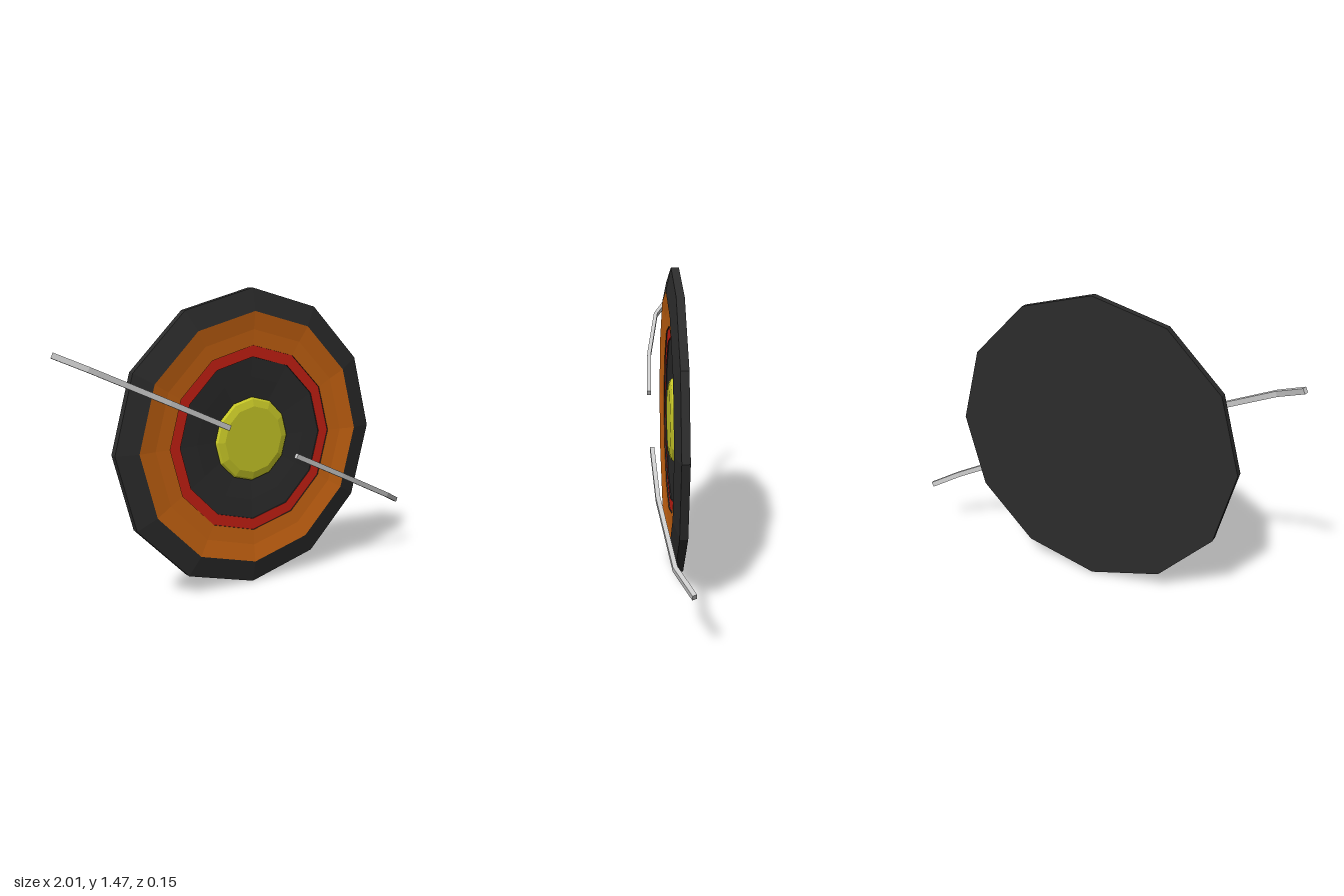
import * as THREE from 'three';

const RADIUS = 0.737;
const SIDES = 12;

function paint(color) {
  return new THREE.MeshStandardMaterial({ color, flatShading: true });
}

// Turned part facing +z; the profile lists [radius, z] from back to front
function turned(name, profile, material) {
  const points = profile.map(([r, z]) => new THREE.Vector2(r, z));
  const geometry = new THREE.LatheGeometry(points, SIDES);
  geometry.rotateX(Math.PI / 2);
  const mesh = new THREE.Mesh(geometry, material);
  mesh.name = name;
  return mesh;
}

// Bent square bar: a thickened polyline of [distance, z], extruded to its width
function bentBar(path, thickness, width, material) {
  const upper = [], lower = [];
  path.forEach(([s, z], i) => {
    const a = path[Math.max(i - 1, 0)];
    const b = path[Math.min(i + 1, path.length - 1)];
    const normal = new THREE.Vector2(a[1] - b[1], b[0] - a[0]).setLength(thickness / 2);
    upper.push(new THREE.Vector2(s, z).add(normal));
    lower.unshift(new THREE.Vector2(s, z).sub(normal));
  });
  const shape = new THREE.Shape([...lower, ...upper]);
  const geometry = new THREE.ExtrudeGeometry(shape, { depth: width, bevelEnabled: false });
  geometry.translate(0, 0, -width / 2);
  geometry.rotateX(Math.PI / 2);
  return new THREE.Mesh(geometry, material);
}

export function createModel() {
  const model = new THREE.Group();
  const target = new THREE.Group();
  target.name = 'disc';
  target.position.y = RADIUS;
  model.add(target);

  const dark = paint(0x2c2c2c);
  const grey = paint(0xcccccc);

  // Backing plate with bevelled rim
  target.add(turned('backPlate',
    [[0, -0.07], [RADIUS, -0.07], [RADIUS, -0.033], [0.627, -0.009]], dark));

  // Shallow dished orange ring
  target.add(turned('orangeRing',
    [[0.627, -0.009], [0.54, -0.021], [0.463, -0.025]], paint(0xcc6612)));

  // Small dark step down to the red ring
  target.add(turned('ringStep', [[0.463, -0.025], [0.463, -0.031]], dark));
  target.add(turned('redRing', [[0.463, -0.031], [0.407, -0.031]], paint(0xcc2014)));

  // Dark central dish
  target.add(turned('centreDish',
    [[0.407, -0.031], [0.407, -0.037], [0.31, -0.043], [0.2, -0.053], [0, -0.053]], dark));

  // Raised yellow button
  target.add(turned('centreButton',
    [[0.2, -0.053], [0.21, -0.042], [0.2, -0.032], [0.165, -0.022], [0, -0.022]],
    paint(0xcccc28)));

  // Two bent bars, opposite each other across the disc
  const path = [[0.215, 0.066], [0.55, 0.053], [0.95, 0.001], [1.097, -0.067]];
  ['leftBar', 'rightBar'].forEach((name, i) => {
    const bar = bentBar(path, 0.02, 0.026, grey);
    bar.name = name;
    bar.rotation.z = THREE.MathUtils.degToRad(-25) + i * Math.PI;
    target.add(bar);
  });

  return model;
}
